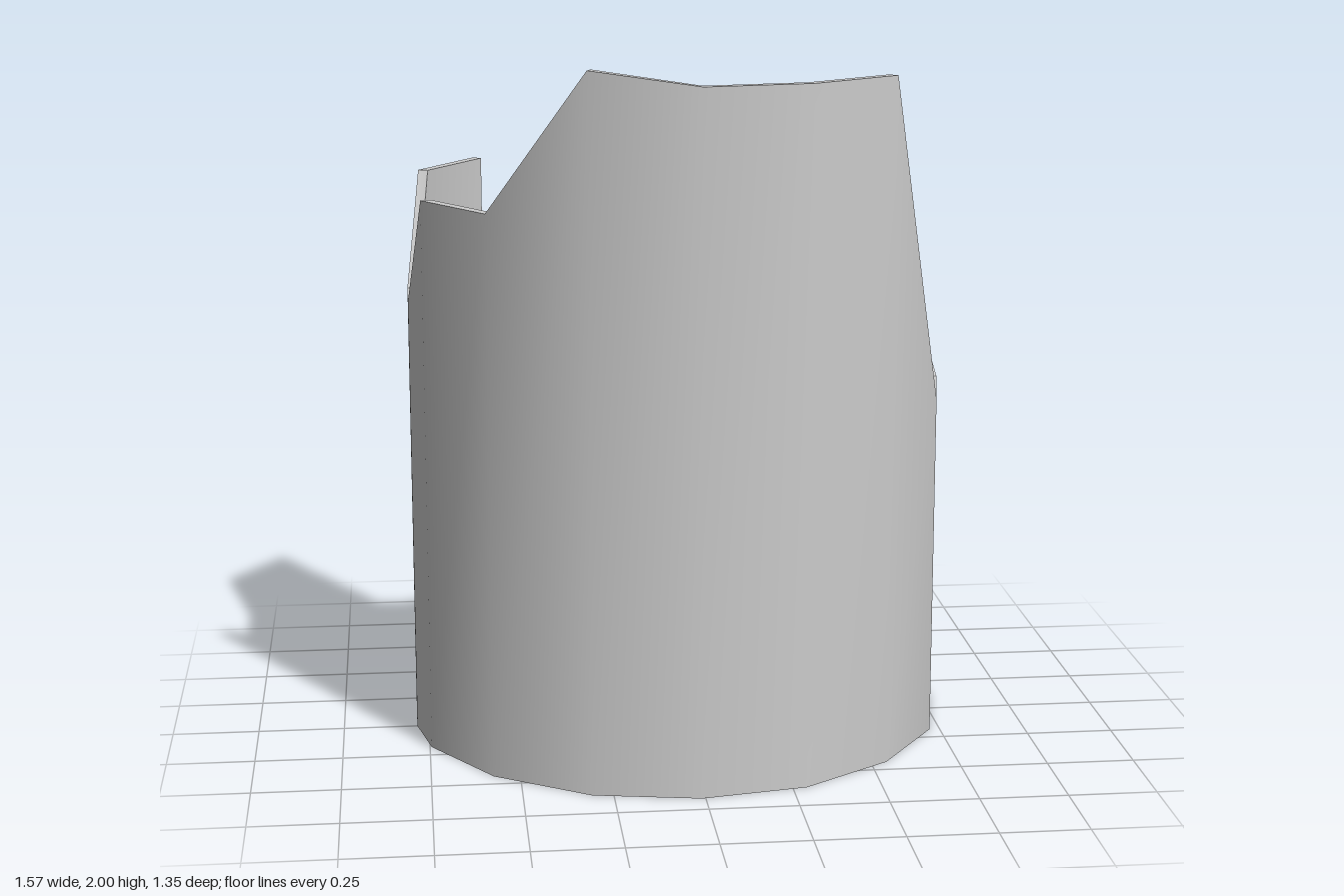
import * as THREE from 'three';
import { toCreasedNormals } from 'three/addons/utils/BufferGeometryUtils.js';

// Outer wall path [x, z, rim height], from the right end around the tall side to the left end
const PATH = [
  [-0.575, -0.675, 1.6], [-0.745, -0.42, 1.6], [-0.785, -0.22, 1.28], [-0.785, 0, 1.28],
  [-0.745, 0.185, 1.6], [-0.575, 0.44, 1.6], [-0.31, 0.615, 2], [-0.01, 0.67, 1.96],
  [0.29, 0.615, 1.96], [0.545, 0.44, 1.96], [0.72, 0.185, 1], [0.78, -0.12, 1],
  [0.72, -0.42, 1.33], [0.545, -0.675, 1.33],
];
const FRONT = 7;

// Mitred inward offset of the path
function inset(d) {
  const normal = (i) => {
    const [a, b] = [PATH[i], PATH[i + 1]];
    return new THREE.Vector2(b[1] - a[1], a[0] - b[0]).normalize();
  };
  const last = PATH.length - 1;
  return PATH.map(([x, z], i) => {
    const n0 = normal(Math.max(i - 1, 0));
    const n1 = normal(Math.min(i, last - 1));
    const m = n0.clone().add(n1).normalize();
    const k = d / m.dot(n1);
    // the normal points inward or outward depending on direction; choose inward
    const s = m.x * x + m.y * z > 0 ? -1 : 1;
    return [x + s * m.x * k, z + s * m.y * k];
  });
}

// Collects quads and fans, then smooths everything but sharp edges
function surface(build, crease) {
  const pos = [];
  const tri = (a, b, c) => pos.push(...a, ...b, ...c);
  const quad = (a, b, c, d) => { tri(a, b, c); tri(a, c, d); };
  build(tri, quad);
  const g = new THREE.BufferGeometry();
  g.setAttribute('position', new THREE.Float32BufferAttribute(pos, 3));
  return toCreasedNormals(g, crease);
}

export function createModel() {
  const group = new THREE.Group();
  const material = new THREE.MeshStandardMaterial({ color: 0xcccccc, side: THREE.DoubleSide });
  const add = (name, geometry) => {
    const mesh = new THREE.Mesh(geometry, material);
    mesh.name = name;
    group.add(mesh);
  };

  // Wrap-around shell: backrest and both arms, open at the rear
  const inner = inset(0.03);
  const sections = PATH.map(([x, z, h], i) => {
    const [u, w] = inner[i];
    return [[x, 0, z], [x, h, z], [u, h, w], [u, 0, w]];
  });
  add('wrapAroundShell', surface((tri, quad) => {
    for (let i = 0; i < sections.length - 1; i++) {
      const [a, b] = [sections[i], sections[i + 1]];
      for (let j = 0; j < 4; j++) {
        const k = (j + 1) % 4;
        quad(a[j], b[j], b[k], a[k]);
      }
    }
    quad(...sections[0]);
    quad(...[...sections[sections.length - 1]].reverse());
  }, 0.75));

  // Seat outline just inside the shell, its top rising slightly towards the backrest
  const outline = inset(0.043);
  const seatY = (z) => 0.84 + 0.025 * (z + 0.645);
  const bottom = outline.map(([x, z]) => [x, 0, z]);
  bottom[bottom.length - 1][2] += 0.075;
  const top = outline.map(([x, z], i) => {
    if (i === FRONT) z = outline[FRONT - 1][1];
    return [x, seatY(z), z];
  });

  add('seatTop', surface((tri) => {
    for (let i = 1; i < top.length - 1; i++) tri(top[0], top[i], top[i + 1]);
  }, 0.5));

  // Skirt under the seat, with the flat panel across the opening
  add('seatSkirt', surface((tri, quad) => {
    for (let i = 0; i < top.length; i++) {
      const k = (i + 1) % top.length;
      quad(bottom[i], bottom[k], top[k], top[i]);
    }
  }, 0.6));

  return group;
}
